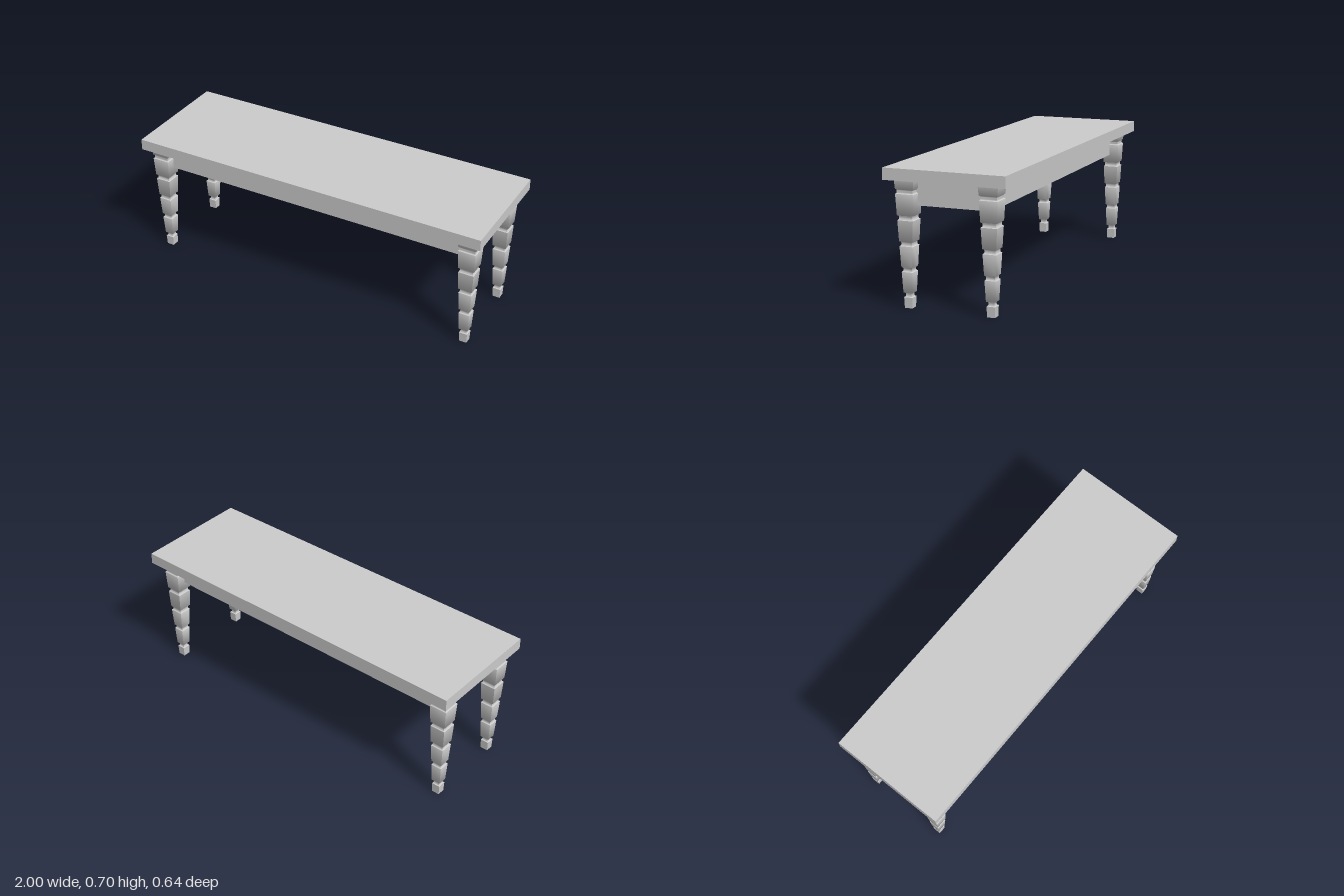
import * as THREE from 'three';
import { toCreasedNormals } from 'three/addons/utils/BufferGeometryUtils.js';

const material = new THREE.MeshStandardMaterial({ color: 0xcccccc });

function box(name, w, y0, y1, d, x = 0, z = 0) {
  const mesh = new THREE.Mesh(new THREE.BoxGeometry(w, y1 - y0, d), material);
  mesh.name = name;
  mesh.position.set(x, (y0 + y1) / 2, z);
  return mesh;
}

// Tapered square blocks, bottom to top: [y0, half width, y1, half width, half width of the neck above]
const blocks = [
  [0, 0.0205, 0.054, 0.0225, 0.015],
  [0.079, 0.0245, 0.183, 0.0295, 0.023],
  [0.208, 0.0305, 0.313, 0.0358, 0.029],
  [0.338, 0.037, 0.442, 0.0418, 0.035],
  [0.468, 0.043, 0.573, 0.048, 0.042],
  [0.598, 0.048, 0.645, 0.052, 0],
];

// Square turned leg: a four-sided lathe with softly hollowed necks
function legGeometry() {
  const profile = [[0, 0]];
  blocks.forEach(([y0, w0, y1, w1, neck], i) => {
    profile.push([w0, y0], [w1, y1]);
    if (!neck) return;
    const top = blocks[i + 1][0];
    profile.push([w1 - 0.002, y1 + 0.002], [neck + 0.002, y1 + 0.003]);
    profile.push([neck, y1 + 0.008], [neck, top - 0.008]);
    profile.push([neck + 0.002, top - 0.003], [blocks[i + 1][1] - 0.002, top - 0.002]);
  });
  profile.push([0, 0.645]);
  const points = profile.map(([w, y]) => new THREE.Vector2(w * Math.SQRT2, y));
  const geometry = new THREE.LatheGeometry(points, 4).rotateY(Math.PI / 4);
  return toCreasedNormals(geometry, 0.8);
}

export function createModel() {
  const bench = new THREE.Group();
  bench.name = 'bench';

  // Top slab and the solid apron running between the leg centres
  bench.add(box('top', 2, 0.645, 0.705, 0.64));
  bench.add(box('apron', 1.82, 0.513, 0.645, 0.43, -0.002, 0.005));

  // Four legs
  const geometry = legGeometry();
  for (const [side, x] of [['Left', 0.913], ['Right', -0.917]]) {
    for (const [end, z] of [['front', 0.225], ['back', -0.215]]) {
      const leg = new THREE.Mesh(geometry, material);
      leg.name = `${end}${side}Leg`;
      leg.position.set(x, 0, z);
      bench.add(leg);
    }
  }
  return bench;
}
